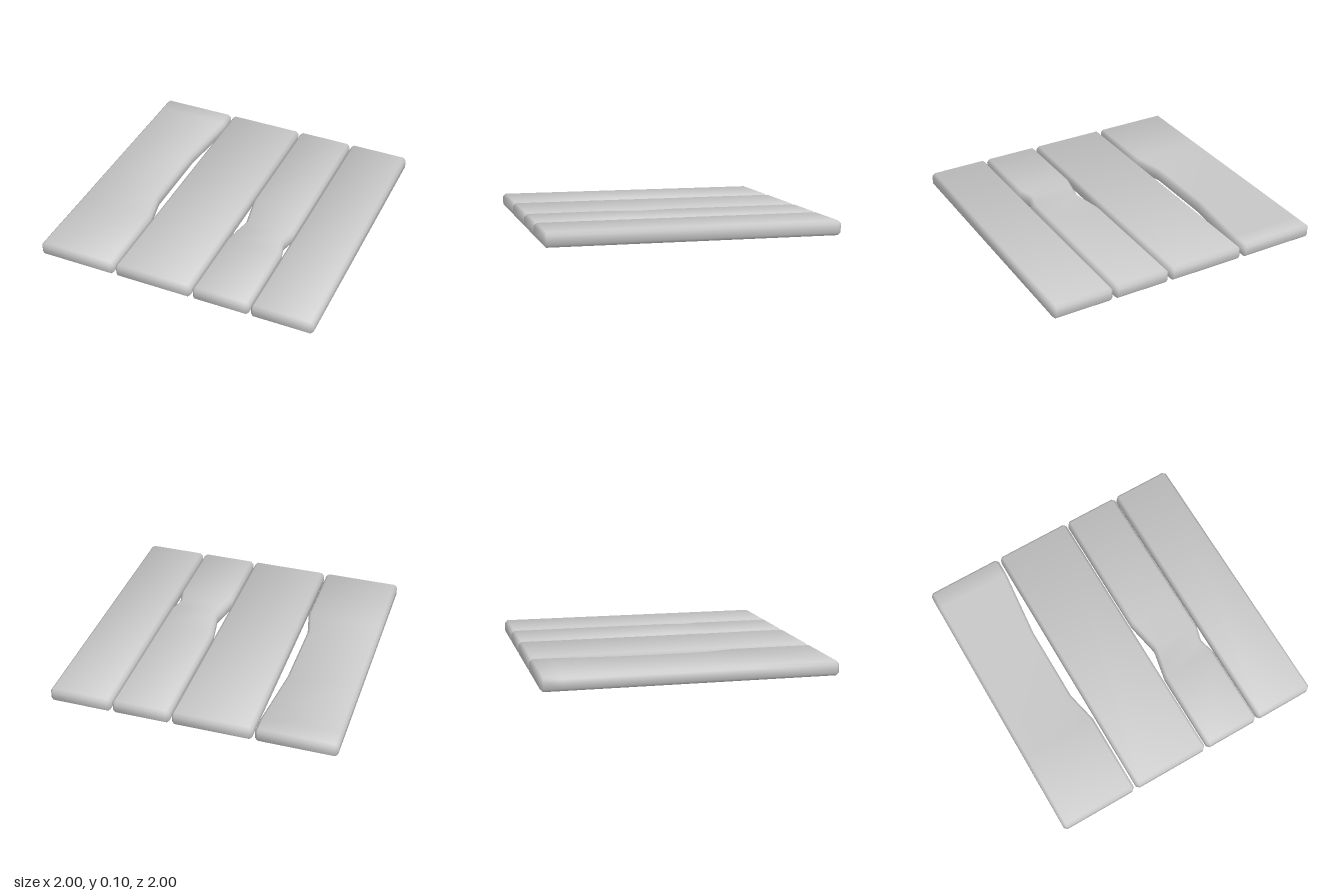
import * as THREE from 'three';
import { mergeVertices } from 'three/addons/utils/BufferGeometryUtils.js';

const HEIGHT = 0.1, BEVEL = 0.02;

// Smooth normals, each face weighted by its angle at the corner
function smoothNormals(geometry) {
  const pos = geometry.attributes.position, index = geometry.index.array;
  const normals = Array.from({ length: pos.count }, () => new THREE.Vector3());
  for (let t = 0; t < index.length; t += 3) {
    const ids = [index[t], index[t + 1], index[t + 2]];
    const p = ids.map((i) => new THREE.Vector3().fromBufferAttribute(pos, i));
    const face = new THREE.Triangle(...p).getNormal(new THREE.Vector3());
    ids.forEach((id, k) => {
      const u = p[(k + 1) % 3].clone().sub(p[k]), v = p[(k + 2) % 3].clone().sub(p[k]);
      normals[id].addScaledVector(face, u.angleTo(v));
    });
  }
  const flat = normals.flatMap((n) => n.normalize().toArray());
  geometry.setAttribute('normal', new THREE.Float32BufferAttribute(flat, 3));
}

// Bevelled plank lofted along z; each station is [z, left edge x, right edge x]
function plank(name, x0, x1, notches = []) {
  const b = BEVEL, h = HEIGHT;
  const octagon = ([z, l, r]) => [
    [l + b, 0, z], [r - b, 0, z], [r, b, z], [r, h - b, z],
    [r - b, h, z], [l + b, h, z], [l, h - b, z], [l, b, z],
  ];
  // End rings pull in by one bevel, which closes the corners to a rectangle
  const endRing = (z) => octagon([z, x0, x1]).map(([x, y]) => [
    THREE.MathUtils.clamp(x, x0 + b, x1 - b), THREE.MathUtils.clamp(y, b, h - b), z]);
  const rings = [
    endRing(-1),
    ...[[-1 + b, x0, x1], ...notches, [1 - b, x0, x1]].map(octagon),
    endRing(1),
  ];

  const points = [];
  const same = (p, q) => p.every((v, i) => Math.abs(v - q[i]) < 1e-6);
  const tri = (p, q, r) => {
    if (!same(p, q) && !same(q, r) && !same(p, r)) points.push(...p, ...q, ...r);
  };
  const quad = (p, q, r, s) => { tri(p, q, r); tri(p, r, s); };
  for (let k = 0; k < rings.length - 1; k++) {
    for (let i = 0; i < 8; i++) {
      const j = (i + 1) % 8;
      quad(rings[k][i], rings[k][j], rings[k + 1][j], rings[k + 1][i]);
    }
  }
  const back = rings[0], front = rings[rings.length - 1];
  quad(back[0], back[5], back[3], back[1]);
  quad(front[0], front[1], front[3], front[5]);

  let geometry = new THREE.BufferGeometry();
  geometry.setAttribute('position', new THREE.Float32BufferAttribute(points, 3));
  geometry = mergeVertices(geometry, 1e-4);
  smoothNormals(geometry);
  const mesh = new THREE.Mesh(geometry, new THREE.MeshStandardMaterial({ color: 0xcccccc }));
  mesh.name = name;
  return mesh;
}

export function createModel() {
  const group = new THREE.Group();
  group.name = 'plankFloor';
  group.add(
    // Long worn hollow on the inner edge
    plank('rightOuterPlank', -1, -0.445, [
      [-0.86, -1, -0.445], [-0.36, -1, -0.495], [0.195, -1, -0.495], [0.42, -1, -0.445],
    ]),
    plank('widePlank', -0.425, 0.13),
    // Chipped on both edges
    plank('chippedPlank', 0.148, 0.551, [
      [-0.05, 0.148, 0.551], [0.195, 0.195, 0.551], [0.305, 0.172, 0.521], [0.42, 0.148, 0.551],
    ]),
    plank('leftOuterPlank', 0.567, 1),
  );
  return group;
}
